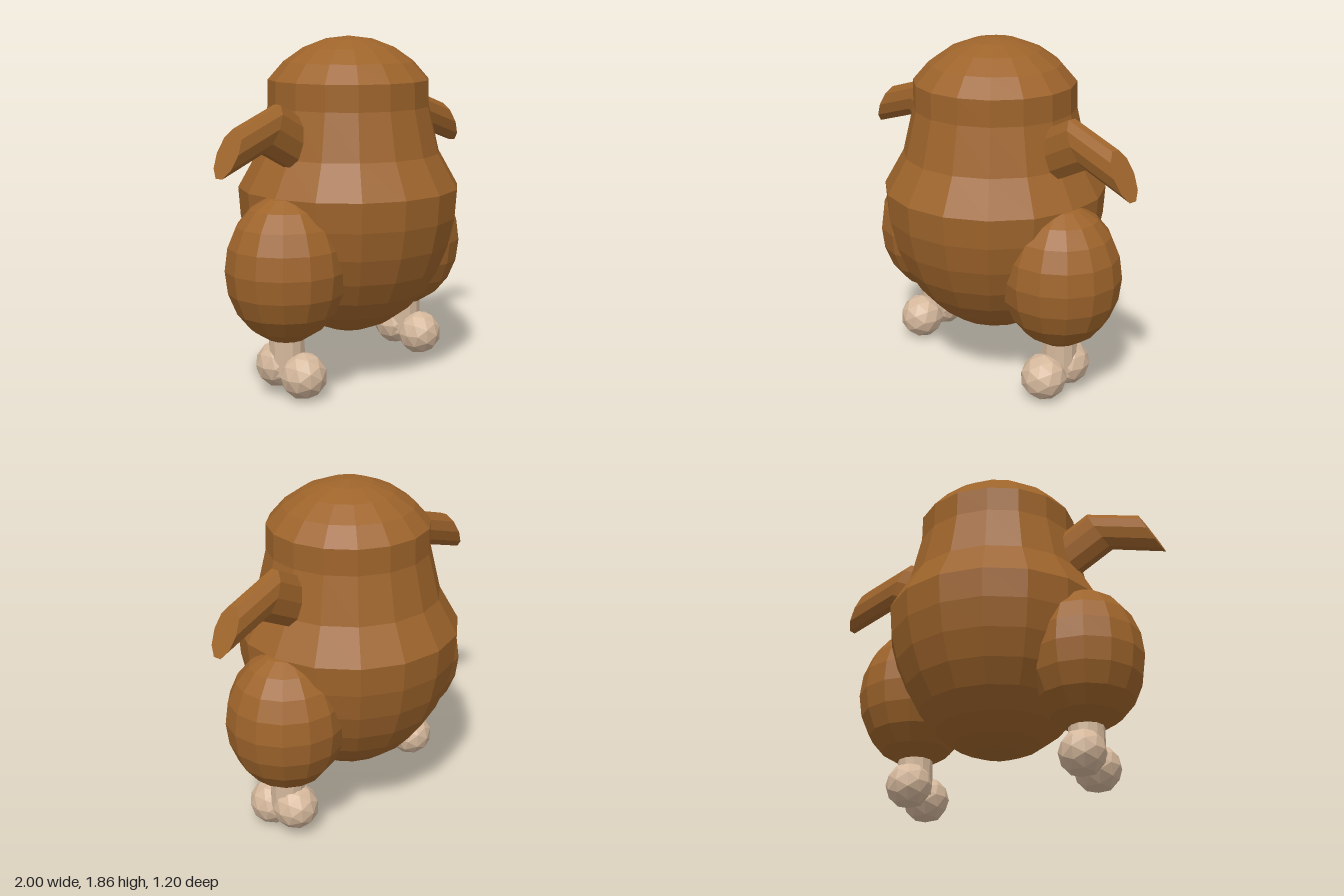
import * as THREE from 'three';

const brown = new THREE.MeshStandardMaterial({ name: 'roastBrown', color: 0x9e642b, flatShading: true });
const bone = new THREE.MeshStandardMaterial({ name: 'bone', color: 0xd5b89c, flatShading: true });

function add(parent, name, geometry, material, x = 0, y = 0, z = 0) {
  const mesh = new THREE.Mesh(geometry, material);
  mesh.name = name;
  mesh.position.set(x, y, z);
  parent.add(mesh);
  return mesh;
}

// Points on an ellipse from one latitude to another, in degrees
function arc(cy, r, ry, from, to, steps) {
  const points = [];
  for (let i = 0; i <= steps; i++) {
    const a = THREE.MathUtils.degToRad(from + (to - from) * i / steps);
    points.push(new THREE.Vector2(Math.max(0, r * Math.cos(a)), cy + ry * Math.sin(a)));
  }
  return points;
}

// Round bowl below, narrowing waist, shallow dome on top
function bodyGeometry() {
  const profile = [
    ...arc(1.053, 0.6, 0.805, -90, 0, 8),
    new THREE.Vector2(0.495, 1.24),
    new THREE.Vector2(0.437, 1.49),
    ...arc(1.334, 0.526, 0.526, 34.2, 90, 4),
  ];
  return new THREE.LatheGeometry(profile, 16);
}

// Egg shape cut flat at the bone
function thighGeometry() {
  const profile = [
    new THREE.Vector2(0, 0.309),
    ...arc(0.68, 0.32, 0.39, -72, 90, 9),
  ];
  return new THREE.LatheGeometry(profile, 14);
}

// Bent prism: the same slanted oval section at root, elbow and tip
function wingGeometry(side) {
  const sides = 10;
  const centres = [[0.3, 1.25], [0.638, 1.418], [0.938, 1.322]];
  const positions = [], index = [];
  for (const [cx, cy] of centres) {
    for (let i = 0; i < sides; i++) {
      const a = (i + 0.5) / sides * Math.PI * 2;
      const c = Math.cos(a) / 0.951;
      positions.push(side * (cx - 0.0625 * c), cy + 0.115 * c, 0.072 * Math.sin(a));
    }
  }
  const face = (a, b, c) => (side > 0 ? index.push(a, c, b) : index.push(a, b, c));
  for (let s = 0; s < 2; s++) {
    for (let i = 0; i < sides; i++) {
      const a = s * sides + i, b = s * sides + (i + 1) % sides;
      face(a, a + sides, b);
      face(b, a + sides, b + sides);
    }
  }
  // End caps
  for (let i = 1; i < sides - 1; i++) {
    face(0, i, i + 1);
    face(2 * sides, 2 * sides + i + 1, 2 * sides + i);
  }
  const geometry = new THREE.BufferGeometry();
  geometry.setAttribute('position', new THREE.Float32BufferAttribute(positions, 3));
  geometry.setIndex(index);
  geometry.computeVertexNormals();
  return geometry;
}

export function createModel() {
  const model = new THREE.Group();
  model.name = 'roastBird';
  add(model, 'body', bodyGeometry(), brown);

  for (const side of [1, -1]) {
    const label = side > 0 ? 'left' : 'right';
    add(model, label + 'Wing', wingGeometry(side), brown);

    const leg = new THREE.Group();
    leg.name = label + 'Leg';
    leg.position.x = side * 0.52;
    add(leg, 'thigh', thighGeometry(), brown);
    add(leg, 'legBone', new THREE.CylinderGeometry(0.095, 0.095, 0.22, 12), bone, 0, 0.23, 0);
    // Two knobs at the end of the bone
    add(leg, 'frontKnob', new THREE.IcosahedronGeometry(0.125, 1), bone, 0, 0.125, 0.115);
    add(leg, 'backKnob', new THREE.IcosahedronGeometry(0.125, 1), bone, 0, 0.16, -0.055);
    model.add(leg);
  }
  return model;
}
